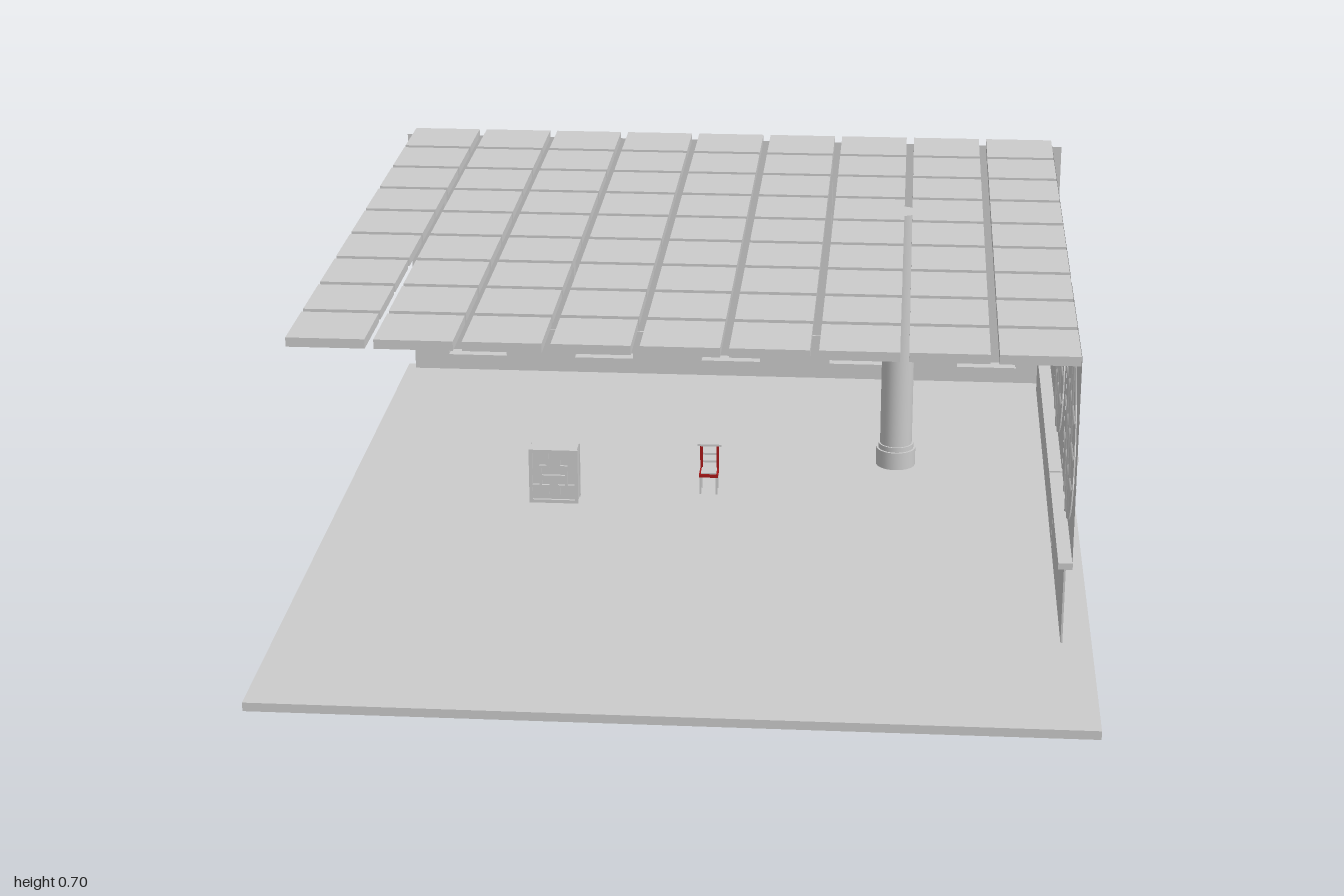
import * as THREE from 'three';

const grey = new THREE.MeshStandardMaterial({ color: 0xcccccc });
const greyThin = new THREE.MeshStandardMaterial({ color: 0xcccccc, side: THREE.DoubleSide });
const red = new THREE.MeshStandardMaterial({ color: 0xa81818 });

function add(parent, name, geometry, material = grey) {
  const mesh = new THREE.Mesh(geometry, material);
  mesh.name = name;
  parent.add(mesh);
  return mesh;
}

// Box given by its minimum and maximum corners
function block(parent, name, [x0, y0, z0], [x1, y1, z1], material = grey) {
  const mesh = add(parent, name, new THREE.BoxGeometry(x1 - x0, y1 - y0, z1 - z0), material);
  mesh.position.set((x0 + x1) / 2, (y0 + y1) / 2, (z0 + z1) / 2);
  return mesh;
}

function rod(parent, name, radius, x, y0, y1, z, sides = 32) {
  const mesh = add(parent, name, new THREE.CylinderGeometry(radius, radius, y1 - y0, sides));
  mesh.position.set(x, (y0 + y1) / 2, z);
  return mesh;
}

function group(parent, name) {
  const g = new THREE.Group();
  g.name = name;
  parent.add(g);
  return g;
}

function rectPath(PathType, x0, y0, x1, y1) {
  return new PathType([[x0, y0], [x1, y0], [x1, y1], [x0, y1]].map(p => new THREE.Vector2(...p)));
}

// Separate square ceiling tiles with open gaps
function buildCeiling(parent) {
  const ceiling = group(parent, 'ceiling');
  const pitch = 0.1813, size = 0.163;
  for (let i = 0; i < 9; i++) {
    for (let j = 0; j < 9; j++) {
      const x = -0.811 + i * pitch, z = -0.986 + j * pitch;
      block(ceiling, 'ceilingTile', [x, 0.68, z], [x + size, 0.7, z + size]);
    }
  }
}

// Thin back wall with five recessed bays and a notched skirting
function buildBackWall(parent) {
  const wall = group(parent, 'backWall');
  const z = -0.963, bays = [-0.665, -0.333, -0.002, 0.33, 0.66];
  const half = 0.076, low = 0.098, high = 0.658;

  const sheet = rectPath(THREE.Shape, -0.83, 0.058, 0.828, 0.69);
  sheet.holes = bays.map(x => rectPath(THREE.Path, x - half, low, x + half, high));
  add(wall, 'wallSheet', new THREE.ShapeGeometry(sheet), greyThin).position.z = z;

  const skirt = new THREE.Shape();
  skirt.moveTo(0.828, 0.058);
  skirt.lineTo(0.828, 0.173);
  for (const x of [...bays].reverse()) {
    skirt.lineTo(x + half, 0.173);
    skirt.lineTo(x + half, low);
    skirt.lineTo(x - half, low);
    skirt.lineTo(x - half, 0.173);
  }
  skirt.lineTo(-0.83, 0.173);
  skirt.lineTo(-0.83, 0.058);
  add(wall, 'backSkirting', new THREE.ExtrudeGeometry(skirt, { depth: 0.009, bevelEnabled: false }))
    .position.z = z - 0.003;

  for (const x of bays) {
    const bay = new THREE.BoxGeometry(half * 2, high - low, 0.035);
    // leave out the face towards the room
    bay.setIndex([...bay.index.array].filter((_, i) => i < 24 || i >= 30));
    add(wall, 'wallBay', bay, greyThin).position.set(x, (low + high) / 2, z - 0.0175);
  }
}

// One side wall section: sheet, round window, lattice and lower panel
function buildSideSection(parent, zc, width) {
  const section = group(parent, 'sideSection');
  section.position.set(0.805, 0, zc);
  section.rotation.y = Math.PI / 2;
  const w = width / 2, cy = 0.44, r = 0.19;

  const sheet = rectPath(THREE.Shape, -w, 0.232, w, 0.69);
  sheet.holes.push(new THREE.Path().absarc(0, cy, r, 0, Math.PI * 2, true));
  add(section, 'sideWallSheet', new THREE.ShapeGeometry(sheet, 24), greyThin);
  add(section, 'windowPane', new THREE.CircleGeometry(r, 48), greyThin).position.set(0, cy, -0.003);

  // gently bowed bars, crossing in both directions
  for (const turned of [false, true]) {
    for (const k of [-1, 0, 1]) {
      const end = k * 0.074, mid = k * 0.094;
      const reach = Math.sqrt(r * r - end * end) - 0.002;
      const pts = [[end, -reach], [mid, 0], [end, reach]].map(([a, b]) =>
        turned ? new THREE.Vector3(b, a, 0) : new THREE.Vector3(a, b, 0));
      const bar = new THREE.TubeGeometry(new THREE.QuadraticBezierCurve3(...pts), 10, 0.007, 6);
      add(section, 'windowBar', bar).position.set(0, cy, 0);
    }
  }

  block(section, 'lowerPanel', [-w, 0.058, -0.017], [w, 0.228, -0.013]);
  block(section, 'panelLedge', [-w, 0.225, -0.029], [w, 0.239, 0.001]);
}

// Round column passing through the floor
function buildColumn(parent) {
  const column = group(parent, 'column');
  const x = 0.433, z = -0.38;
  rod(column, 'columnShaft', 0.038, x, 0, 0.69, z);
  rod(column, 'columnFoot', 0.047, x, 0, 0.055, z);
  rod(column, 'columnBase', 0.047, x, 0.055, 0.1, z);
  rod(column, 'columnCollar', 0.042, x, 0.1, 0.112, z);
}

// Ceiling lamp with a pull cord
function buildLamp(parent) {
  const lamp = group(parent, 'lamp');
  lamp.position.set(-0.004, 0.64, 0);
  add(lamp, 'lampShade', new THREE.SphereGeometry(0.043, 32, 20)).scale.y = 0.75;
  rod(lamp, 'lampStem', 0.004, 0, 0.028, 0.041, 0, 12);
  rod(lamp, 'pullCord', 0.0015, 0, -0.105, 0, 0, 6);
}

// Small cabinet with raised fretwork on front and back
function buildCabinet(parent) {
  const cabinet = group(parent, 'cabinet');
  cabinet.position.set(-0.357, 0.058, -0.095);
  block(cabinet, 'cabinetBody', [-0.055, 0, -0.02], [0.055, 0.132, 0.02]);
  for (const s of [-1, 1]) {
    const face = group(cabinet, 'fretwork');
    face.rotation.y = s > 0 ? 0 : Math.PI;
    const bar = (x0, y0, x1, y1) => block(face, 'fretBar', [x0, y0, 0.019], [x1, y1, 0.026]);
    bar(-0.057, 0, 0.057, 0.008);
    bar(-0.057, 0.124, 0.057, 0.132);
    bar(-0.03, 0.063, 0.03, 0.069);
    for (const m of [-1, 1]) {
      const mirrored = (a, y0, b, y1) => bar(Math.min(m * a, m * b), y0, Math.max(m * a, m * b), y1);
      mirrored(0.049, 0.008, 0.057, 0.124);
      mirrored(0.027, 0.045, 0.033, 0.087);
      mirrored(0.01, 0.087, 0.016, 0.124);
      mirrored(0.01, 0.02, 0.016, 0.045);
      mirrored(0.016, 0.087, 0.033, 0.093);
      mirrored(0.016, 0.039, 0.049, 0.045);
    }
  }
}

// Small red chair with grey legs, rails and cushion
function buildChair(parent) {
  const chair = group(parent, 'chair');
  chair.position.set(-0.002, 0.058, -0.17);
  for (const x of [-0.019, 0.019]) {
    for (const z of [-0.019, 0.019]) {
      block(chair, 'chairLeg', [x - 0.002, 0, z - 0.002], [x + 0.002, 0.044, z + 0.002]);
    }
    block(chair, 'backPost', [x - 0.003, 0.044, -0.022], [x + 0.003, 0.108, -0.016], red);
  }
  block(chair, 'seat', [-0.022, 0.042, -0.022], [0.022, 0.05, 0.022], red);
  block(chair, 'cushion', [-0.018, 0.05, -0.016], [0.018, 0.053, 0.02]);
  for (const y of [0.065, 0.084]) {
    block(chair, 'backRail', [-0.017, y, -0.021], [0.017, y + 0.005, -0.017]);
  }
  block(chair, 'topRail', [-0.028, 0.106, -0.023], [0.028, 0.111, -0.015]);
}

export function createModel() {
  const model = new THREE.Group();
  model.name = 'room';
  block(model, 'floor', [-0.853, 0.038, -0.992], [0.853, 0.057, 1]);
  buildCeiling(model);
  buildBackWall(model);
  const side = group(model, 'sideWall');
  for (const [z, width] of [[0.355, 0.5], [-0.152, 0.497], [-0.654, 0.505]]) {
    buildSideSection(side, z, width);
  }
  buildColumn(model);
  buildLamp(model);
  buildCabinet(model);
  buildChair(model);
  return model;
}
